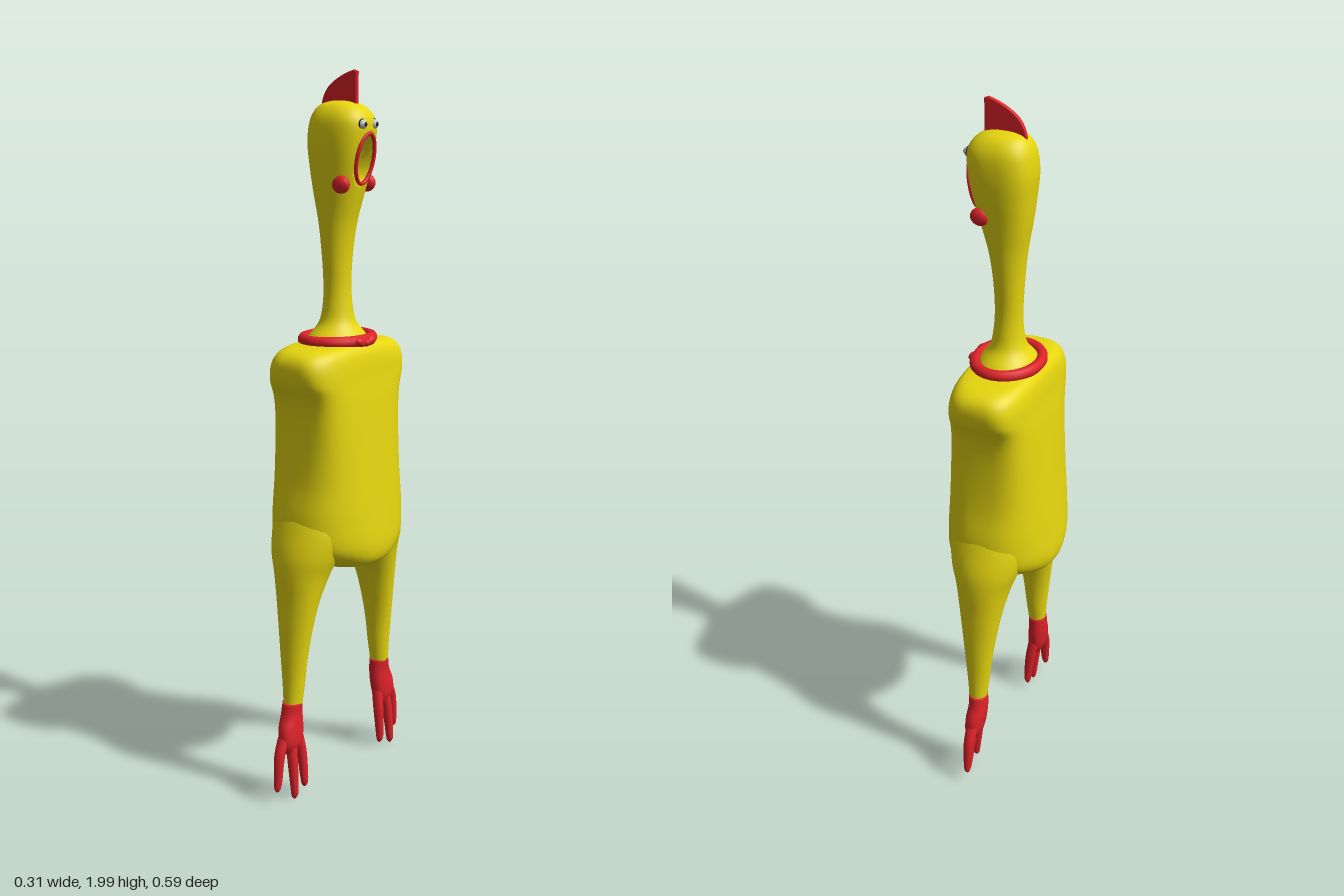
import * as THREE from 'three';

const mat = (color, side = THREE.FrontSide) => new THREE.MeshStandardMaterial({ color, side });
const yellow = mat(0xe6d60f), red = mat(0xdc2229), white = mat(0xf0f0f0), black = mat(0x151515);

function add(parent, name, geometry, material) {
  const mesh = new THREE.Mesh(geometry, material);
  mesh.name = name;
  parent.add(mesh);
  return mesh;
}

// Smooth skin through superellipse sections [y, cx, cz, rx, rz, exponent], bottom to top
function loft(sections, rows, seg, bend) {
  const centres = new THREE.CatmullRomCurve3(sections.map(s => new THREE.Vector3(s[1], s[0], s[2])), false, 'catmullrom');
  const radii = new THREE.CatmullRomCurve3(sections.map(s => new THREE.Vector3(s[3], s[4], s[5])), false, 'catmullrom');
  const pos = [], index = [];
  const power = (v, n) => Math.sign(v) * Math.pow(Math.abs(v), 2 / n);
  for (let r = 0; r <= rows; r++) {
    const c = centres.getPoint(r / rows), k = radii.getPoint(r / rows);
    for (let i = 0; i < seg; i++) {
      const a = (i / seg) * Math.PI * 2;
      const p = new THREE.Vector3(c.x + k.x * power(Math.cos(a), k.z), c.y, c.z + k.y * power(Math.sin(a), k.z));
      if (bend) bend(p);
      pos.push(p.x, p.y, p.z);
      if (r < rows) {
        const j = (i + 1) % seg, b = r * seg, t = b + seg;
        index.push(b + i, t + i, b + j, b + j, t + i, t + j);
      }
    }
  }
  // End caps
  const low = pos.length / 3, high = low + 1, last = rows * seg;
  for (const t of [0, 1]) pos.push(...centres.getPoint(t).toArray());
  for (let i = 0; i < seg; i++) {
    const j = (i + 1) % seg;
    index.push(low, i, j, high, last + j, last + i);
  }
  const g = new THREE.BufferGeometry();
  g.setAttribute('position', new THREE.Float32BufferAttribute(pos, 3));
  g.setIndex(index);
  g.computeVertexNormals();
  return g;
}

// Closed oval tube from a function of the angle
function ovalTube(fn, radius, seg, sides) {
  const pts = Array.from({ length: 24 }, (_, i) => fn((i / 24) * Math.PI * 2));
  return new THREE.TubeGeometry(new THREE.CatmullRomCurve3(pts, true), seg, radius, sides, true);
}

const MOUTH_Y = 1.77;
const faceX = y => 0.091 + (y - MOUTH_Y) * 0.2;

// Pushes the open mouth into the front of the head
function hollowMouth(p) {
  const d = (p.z / 0.038) ** 2 + ((p.y - MOUTH_Y) / 0.066) ** 2;
  if (p.x > 0 && d < 1) p.x -= 0.05 * Math.min(1, (1 - d) * 3);
}

function makeLeg(side) {
  const leg = new THREE.Group();
  leg.name = side > 0 ? 'leftLeg' : 'rightLeg';
  const mirror = list => list.map(([y, x, z, ...r]) => [y, x, z * side, ...r]);

  add(leg, 'thigh', loft(mirror([
    [0.27, 0, 0.211, 0.025, 0.027, 2], [0.34, 0, 0.206, 0.032, 0.031, 2],
    [0.42, 0, 0.203, 0.041, 0.034, 2], [0.50, 0, 0.196, 0.052, 0.040, 2],
    [0.58, 0, 0.184, 0.065, 0.052, 2], [0.65, 0, 0.165, 0.08, 0.074, 2],
    [0.71, 0, 0.148, 0.10, 0.087, 2], [0.78, 0, 0.13, 0.11, 0.084, 2],
    [0.86, 0, 0.11, 0.09, 0.075, 2],
  ]), 40, 28), yellow);

  add(leg, 'foot', loft(mirror([
    [0.14, 0.005, 0.226, 0.012, 0.022, 2], [0.17, 0.004, 0.226, 0.024, 0.039, 2.3],
    [0.21, 0.001, 0.222, 0.027, 0.042, 2.3], [0.25, -0.002, 0.214, 0.027, 0.034, 2.1],
    [0.285, -0.001, 0.211, 0.0275, 0.0295, 2],
  ]), 20, 24), red);

  // Toes: tip y, tip z, root z, tip x
  for (const [y, z, root, x] of [[0.025, 0.186, 0.2, 0.02], [0.008, 0.236, 0.225, 0.023], [0.04, 0.286, 0.243, 0.002]]) {
    const mid = (0.21 + y) / 2;
    add(leg, 'toe', loft(mirror([
      [y, x, z, 0.002, 0.002, 2], [y + 0.008, x, z, 0.008, 0.008, 2],
      [y + 0.03, x, z - (z - root) * 0.08, 0.012, 0.011, 2],
      [mid + 0.02, x * 0.6, z - (z - root) * 0.3, 0.016, 0.014, 2],
      [0.21, 0, root, 0.018, 0.014, 2],
    ]), 20, 14), red);
  }
  return leg;
}

export function createModel() {
  const model = new THREE.Group();
  model.name = 'rubberChicken';

  // Flattened torso with squared shoulders and a wide belly
  add(model, 'torso', loft([
    [0.648, 0, 0, 0.06, 0.04, 2], [0.655, 0, 0, 0.115, 0.09, 2.2],
    [0.675, 0, 0, 0.146, 0.14, 2.2], [0.72, 0, 0, 0.155, 0.20, 2.2],
    [0.80, 0, 0, 0.149, 0.206, 2.4], [0.90, 0, 0, 0.139, 0.19, 2.8],
    [1.00, 0, 0, 0.130, 0.183, 3.2], [1.09, 0, 0, 0.122, 0.184, 3.6],
    [1.14, 0, 0, 0.117, 0.194, 3.8], [1.18, 0, 0, 0.112, 0.215, 3.8],
    [1.22, 0, 0, 0.108, 0.221, 3.6], [1.25, 0, 0, 0.102, 0.212, 3.2],
    [1.268, 0, 0, 0.092, 0.185, 2.8], [1.275, 0, 0, 0.082, 0.13, 2.4],
    [1.28, 0, 0, 0.06, 0.08, 2],
  ], 84, 48), yellow);

  // Neck and head in one skin
  add(model, 'neckAndHead', loft([
    [1.265, 0, 0, 0.09, 0.11, 2], [1.295, 0, 0, 0.074, 0.083, 2],
    [1.33, 0, 0, 0.05, 0.053, 2], [1.38, 0, 0, 0.04, 0.042, 2],
    [1.44, -0.001, 0, 0.038, 0.039, 2], [1.52, -0.001, 0, 0.042, 0.045, 2],
    [1.60, 0.001, 0, 0.051, 0.054, 2.1], [1.68, 0.005, 0, 0.067, 0.064, 2.4],
    [1.75, 0.010, 0, 0.080, 0.073, 2.6], [1.81, 0.013, 0, 0.088, 0.077, 2.7],
    [1.86, 0.017, 0, 0.088, 0.074, 2.7], [1.89, 0.016, 0, 0.078, 0.064, 2.5],
    [1.91, 0.012, 0, 0.058, 0.046, 2.3], [1.919, 0.01, 0, 0.03, 0.022, 2],
    [1.921, 0.01, 0, 0.003, 0.003, 2],
  ], 120, 72, hollowMouth), yellow);

  add(model, 'lips', ovalTube(a => {
    const y = MOUTH_Y + 0.066 * Math.sin(a);
    return new THREE.Vector3(faceX(y), y, 0.038 * Math.cos(a));
  }, 0.0055, 48, 8), red);

  // Comb on top of the head
  const outline = new THREE.Shape();
  outline.moveTo(-0.05, 1.895);
  outline.quadraticCurveTo(-0.045, 1.94, -0.02, 1.96);
  outline.quadraticCurveTo(0.01, 1.985, 0.055, 1.997);
  outline.lineTo(0.063, 1.994);
  outline.lineTo(0.062, 1.895);
  const comb = add(model, 'comb', new THREE.ExtrudeGeometry(outline, {
    depth: 0.006, bevelThickness: 0.003, bevelSize: 0.003, bevelSegments: 2, curveSegments: 8,
  }), red);
  comb.position.z = -0.003;

  for (const side of [1, -1]) {
    // Eyes
    const eye = new THREE.Group();
    eye.name = 'eye';
    eye.position.set(0.099, 1.86, 0.026 * side);
    add(eye, 'eyeball', new THREE.SphereGeometry(0.013, 20, 14), white);
    const pupil = add(eye, 'pupil', new THREE.SphereGeometry(0.007, 16, 10), black);
    pupil.position.x = 0.008;
    const rim = add(eye, 'eyeRim', new THREE.TorusGeometry(0.0135, 0.002, 6, 24), black);
    rim.rotation.y = Math.PI / 2;
    model.add(eye);

    // Cheek wattles
    const wattle = add(model, 'wattle', new THREE.SphereGeometry(1, 16, 12), red);
    wattle.scale.set(0.027, 0.024, 0.016);
    wattle.position.set(0.054, 1.704, 0.059 * side);

    // Bow at the front of the collar
    const bow = add(model, 'bowLoop', new THREE.SphereGeometry(1, 16, 10), red);
    bow.scale.set(0.012, 0.013, 0.022);
    bow.position.set(0.094, 1.282, 0.023 * side);
    bow.rotation.x = -0.25 * side;

    model.add(makeLeg(side));
  }

  add(model, 'bowKnot', new THREE.SphereGeometry(0.01, 14, 10), red).position.set(0.097, 1.278, 0);
  add(model, 'collar', ovalTube(a =>
    new THREE.Vector3(0.086 * Math.cos(a), 1.284, 0.107 * Math.sin(a)), 0.016, 40, 10), red);

  return model;
}
